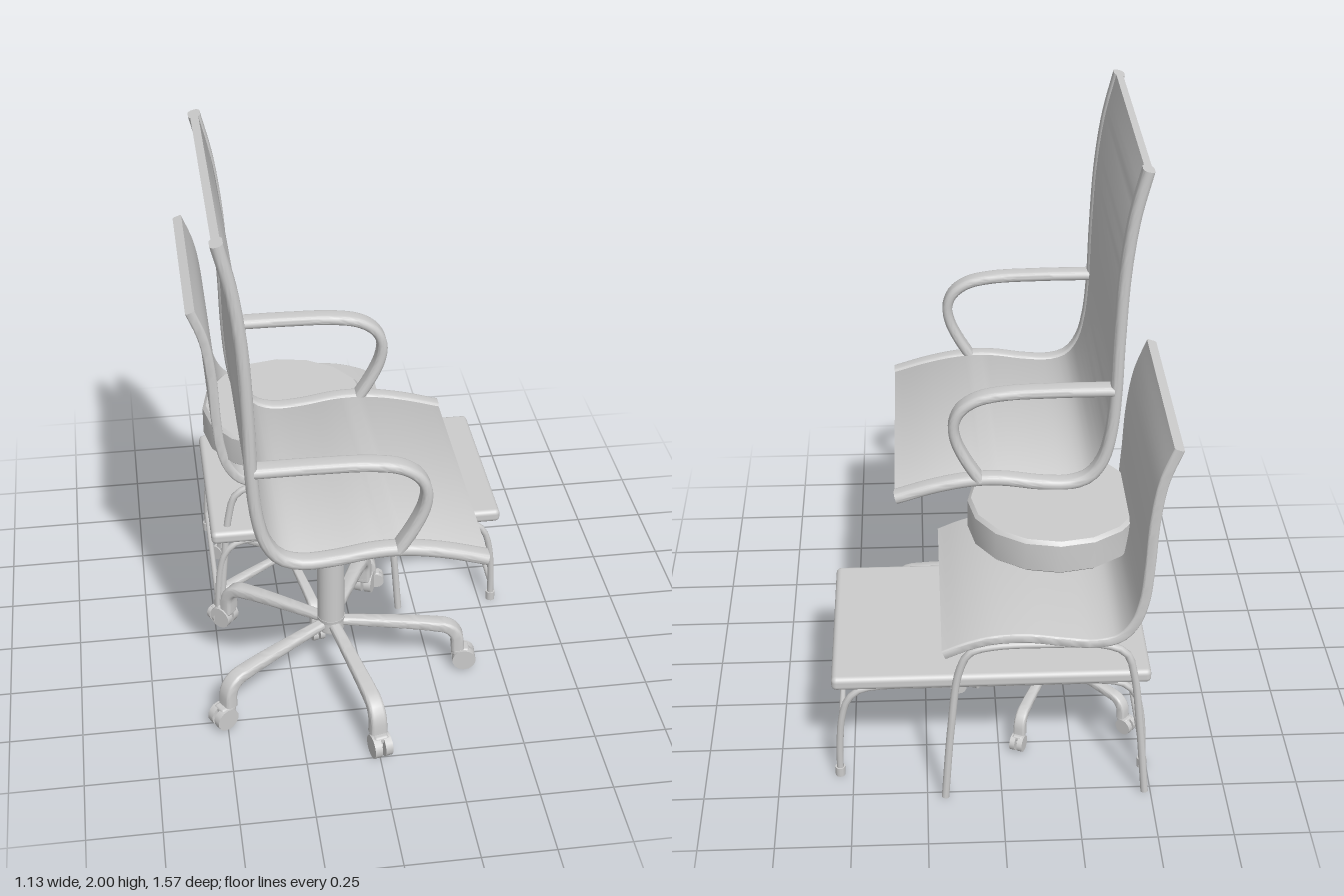
import * as THREE from 'three';
import { toCreasedNormals } from 'three/addons/utils/BufferGeometryUtils.js';
import { RoundedBoxGeometry } from 'three/addons/geometries/RoundedBoxGeometry.js';

const mat = new THREE.MeshStandardMaterial({ color: 0xcccccc });

function add(parent, name, geo, x = 0, y = 0, z = 0) {
  const m = new THREE.Mesh(geo, mat);
  m.name = name;
  m.position.set(x, y, z);
  parent.add(m);
  return m;
}

function group(parent, name) {
  const g = new THREE.Group();
  g.name = name;
  parent.add(g);
  return g;
}

const curve = (pts) => new THREE.CatmullRomCurve3(pts.map(([x, y, z = 0]) => new THREE.Vector3(x, y, z)), false, 'centripetal');

// Rounded rectangle cross-section: half thickness, half width, corner radius
function roundRect(hn, hz, r, k = 4) {
  const out = [];
  [[1, 1], [-1, 1], [-1, -1], [1, -1]].forEach(([sn, sz], q) => {
    for (let i = 0; i <= k; i++) {
      const a = (q + i / k) * Math.PI / 2;
      out.push([sn * (hn - r) + r * Math.cos(a), sz * (hz - r) + r * Math.sin(a)]);
    }
  });
  return out;
}

// Sweeps a cross-section along a path in the XY plane, keeping its width along z
function sweep(pts, section, segs = 40) {
  const c = curve(pts), pos = [], idx = [];
  let n = 0;
  for (let i = 0; i <= segs; i++) {
    const p = c.getPointAt(i / segs), t = c.getTangentAt(i / segs), ring = section(i / segs);
    n = ring.length;
    for (const [a, z] of ring) pos.push(p.x - t.y * a, p.y + t.x * a, z);
  }
  for (let i = 0; i < segs; i++) {
    for (let j = 0; j < n; j++) {
      const a = i * n + j, b = i * n + (j + 1) % n;
      idx.push(a, b, b + n, a, b + n, a + n);
    }
  }
  const e = segs * n;
  for (let j = 1; j < n - 1; j++) idx.push(0, j + 1, j, e, e + j, e + j + 1);
  const g = new THREE.BufferGeometry();
  g.setAttribute('position', new THREE.Float32BufferAttribute(pos, 3));
  g.setIndex(idx);
  return toCreasedNormals(g, 0.7);
}

const tube = (pts, r) => new THREE.TubeGeometry(curve(pts), 48, r, 10, false);
const cyl = (r, h, n = 20) => new THREE.CylinderGeometry(r, r, h, n);

// Five-legged base on casters
function casterBase(parent, x, z, s, turn) {
  const base = group(parent, 'casterBase');
  base.position.set(x, 0, z);
  base.scale.setScalar(s);
  add(base, 'hub', new THREE.CylinderGeometry(0.05, 0.042, 0.06, 20), 0, 0.22, 0);
  const path = [[0.02, 0.225], [0.2, 0.21], [0.36, 0.192], [0.42, 0.178], [0.448, 0.145], [0.454, 0.085]];
  const legGeo = sweep(path, (t) => roundRect(0.015 + 0.008 * t, 0.02 + 0.01 * t, 0.012), 28);
  for (let i = 0; i < 5; i++) {
    const leg = group(base, 'baseLeg');
    leg.rotation.y = -(turn + i * 72) * Math.PI / 180;
    add(leg, 'legArm', legGeo);
    add(leg, 'casterStem', cyl(0.014, 0.07, 10), 0.462, 0.075, 0);
    add(leg, 'casterHood', new RoundedBoxGeometry(0.06, 0.03, 0.052, 2, 0.01), 0.466, 0.072, 0);
    for (const side of [-1, 1]) {
      add(leg, 'casterWheel', cyl(0.042, 0.026, 14), 0.477, 0.042, side * 0.019).rotation.x = Math.PI / 2;
    }
    add(leg, 'casterAxle', cyl(0.012, 0.05, 10), 0.477, 0.042, 0).rotation.x = Math.PI / 2;
  }
}

// Two-part gas lift column
function column(parent, x, z, r, y0, y1, y2) {
  add(parent, 'columnLower', cyl(r, y1 - y0), x, (y0 + y1) / 2, z);
  add(parent, 'columnUpper', cyl(r * 0.56, y2 - y1 + 0.02), x, (y1 + y2) / 2, z);
}

function armchair(root) {
  const g = group(root, 'officeArmchair');
  const profile = [[-0.484, 1.995], [-0.448, 1.84], [-0.424, 1.65], [-0.412, 1.4], [-0.407, 1.2], [-0.395, 1.05],
    [-0.37, 0.945], [-0.325, 0.88], [-0.26, 0.855], [-0.16, 0.857], [-0.03, 0.876], [0.07, 0.876], [0.2, 0.853], [0.338, 0.812]];
  const armPath = [[-0.4, 1.213], [-0.2, 1.212], [-0.03, 1.205], [0.06, 1.185], [0.115, 1.145], [0.137, 1.09],
    [0.13, 1.03], [0.1, 0.96], [0.05, 0.875]];
  add(g, 'seatAndBackPanel', sweep(profile, () => roundRect(0.013, 0.45, 0.005), 60), 0, 0, 0.29);
  const rail = sweep(profile, () => roundRect(0.02, 0.032, 0.019), 60);
  const arm = sweep(armPath, () => roundRect(0.018, 0.034, 0.0175), 48);
  for (const side of [-1, 1]) {
    add(g, 'sideRail', rail, 0, 0, 0.29 + side * 0.455);
    add(g, 'armrest', arm, 0, 0, 0.29 + side * 0.455);
  }
  column(g, -0.105, 0.27, 0.048, 0.2, 0.57, 0.86);
  casterBase(g, -0.105, 0.27, 1, 5);
}

function sideChair(root) {
  const g = group(root, 'sideChair');
  const profile = [[-0.535, 1.33], [-0.495, 1.22], [-0.473, 1.08], [-0.463, 0.9], [-0.452, 0.78], [-0.425, 0.69],
    [-0.38, 0.635], [-0.3, 0.615], [-0.2, 0.625], [-0.08, 0.642], [0.03, 0.638], [0.11, 0.618], [0.188, 0.585]];
  add(g, 'seatShell', sweep(profile, () => roundRect(0.017, 0.367, 0.008), 60), 0, 0, -0.408);
  // Bent leg frames, splayed outwards at the floor
  const legs = [[-0.48, 0, 1], [-0.455, 0.28, 0.5], [-0.432, 0.47, 0.12], [-0.405, 0.555, 0], [-0.34, 0.59, 0], [-0.15, 0.6, 0],
    [0.03, 0.595, 0], [0.105, 0.572, 0], [0.14, 0.5, 0.1], [0.168, 0.28, 0.5], [0.19, 0, 1]];
  for (const side of [-1, 1]) {
    add(g, 'legFrame', tube(legs.map(([x, y, k]) => [x, y, -0.408 + side * (0.338 + 0.026 * k)]), 0.013));
  }
}

function stool(root) {
  const g = group(root, 'roundStool');
  const cushion = new THREE.LatheGeometry([[0, 0.72], [0.285, 0.72], [0.297, 0.73], [0.297, 0.83], [0.285, 0.842], [0, 0.842]]
    .map(([x, y]) => new THREE.Vector2(x, y)), 16);
  add(g, 'cushion', toCreasedNormals(cushion, 0.5), -0.203, 0, -0.232);
  column(g, -0.203, -0.232, 0.034, 0.15, 0.57, 0.73);
  casterBase(g, -0.203, -0.232, 0.7, 6);
}

function lowTable(root) {
  const g = group(root, 'lowTable');
  g.position.set(0.03, 0, -0.347);
  add(g, 'tableTop', new RoundedBoxGeometry(1.06, 0.05, 0.666, 3, 0.018), 0, 0.404, 0);
  const half = [[0.515, 0], [0.513, 0.12], [0.502, 0.24], [0.48, 0.315], [0.44, 0.355], [0.38, 0.368], [0.2, 0.37]];
  const path = [...half, ...half.map(([x, y]) => [-x, y]).reverse()];
  for (const sz of [-1, 1]) {
    add(g, 'legFrame', tube(path, 0.012), 0, 0, sz * 0.295);
    for (const sx of [-1, 1]) add(g, 'foot', cyl(0.017, 0.034, 12), sx * 0.515, 0.017, sz * 0.295);
  }
  for (const sx of [-1, 1]) add(g, 'crossBar', cyl(0.01, 0.59, 10), sx * 0.514, 0.078, 0).rotation.x = Math.PI / 2;
}

export function createModel() {
  const root = new THREE.Group();
  root.name = 'seatingSet';
  armchair(root);
  sideChair(root);
  stool(root);
  lowTable(root);
  return root;
}
